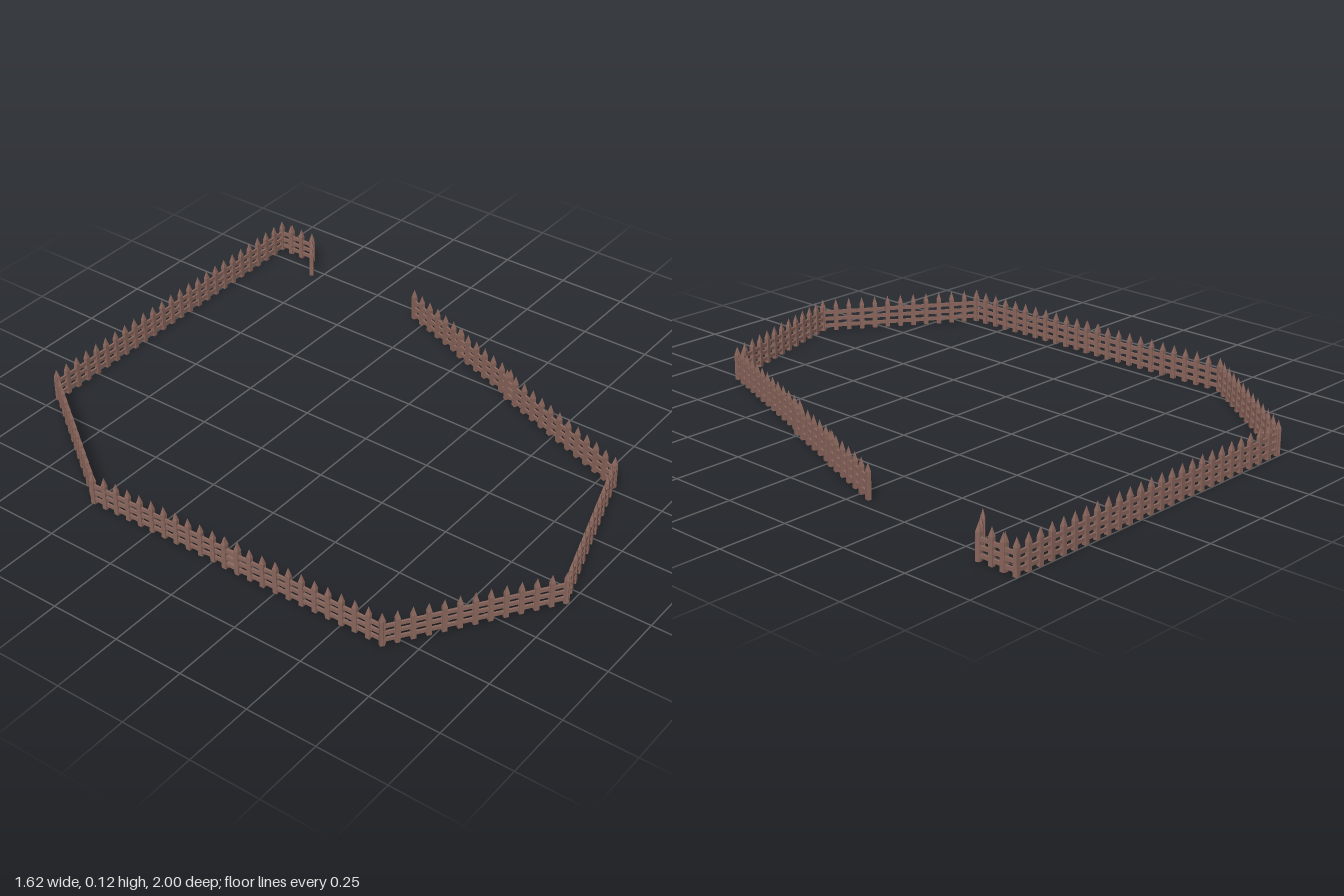
import * as THREE from 'three';
import { mergeGeometries } from 'three/addons/utils/BufferGeometryUtils.js';

const POST_W = 0.016, POST_D = 0.014, POST_H = 0.092, TOP = 0.123, SPACING = 0.05;

// One square picket with a pyramid point, standing on y = 0
function picketGeometry() {
  const shaft = new THREE.BoxGeometry(POST_W, POST_H, POST_D).translate(0, POST_H / 2, 0);
  const point = new THREE.ConeGeometry(Math.SQRT1_2, TOP - POST_H, 4, 1, true)
    .rotateY(Math.PI / 4)
    .scale(POST_W, 1, POST_D)
    .translate(0, (TOP + POST_H) / 2, 0);
  return mergeGeometries([shaft, point]);
}

export function createModel() {
  const group = new THREE.Group();
  group.name = 'picketFence';
  const wood = new THREE.MeshStandardMaterial({ color: 0x8a665c, flatShading: true });
  const picket = picketGeometry();

  // Straight runs in plan (x1, z1, x2, z2); some overlap slightly where panels meet
  const runs = [
    [0.72, -0.788, 0.798, -0.844],
    [0.797, -0.844, 0.798, -0.945],
    [0.803, -0.943, 0.802, -0.992],
    [0.802, -0.992, -0.445, -0.992],
    [-0.445, -0.992, -0.8, -0.498],
    [-0.802, -0.498, -0.797, 0.1],
    [-0.802, 0.05, -0.797, 0.65],
    [-0.8, 0.65, -0.312, 0.988],
    [-0.312, 0.988, 0.267, 0.807],
    [0.267, 0.807, 0.477, 0.252],
    [0.486, 0.26, 0.593, -0.024],
    [0.598, -0.02, 0.704, -0.3],
  ];

  runs.forEach(([x1, z1, x2, z2], i) => {
    const length = Math.hypot(x2 - x1, z2 - z1);
    const run = new THREE.Group();
    run.name = `fenceRun${i + 1}`;
    run.position.set(x1, 0, z1);
    run.rotation.y = -Math.atan2(z2 - z1, x2 - x1);

    // Evenly spaced pickets, including both ends
    const bays = Math.round(length / SPACING);
    const pickets = [];
    for (let k = 0; k <= bays; k++) pickets.push(picket.clone().translate((k / bays) * length, 0, 0));
    const posts = new THREE.Mesh(mergeGeometries(pickets), wood);
    posts.name = 'pickets';
    run.add(posts);

    // Three horizontal rails through the pickets
    for (const y of [0.019, 0.045, 0.071]) {
      const rail = new THREE.Mesh(new THREE.BoxGeometry(length, 0.013, 0.007), wood);
      rail.name = 'rail';
      rail.position.set(length / 2, y, 0);
      run.add(rail);
    }
    group.add(run);
  });
  return group;
}
